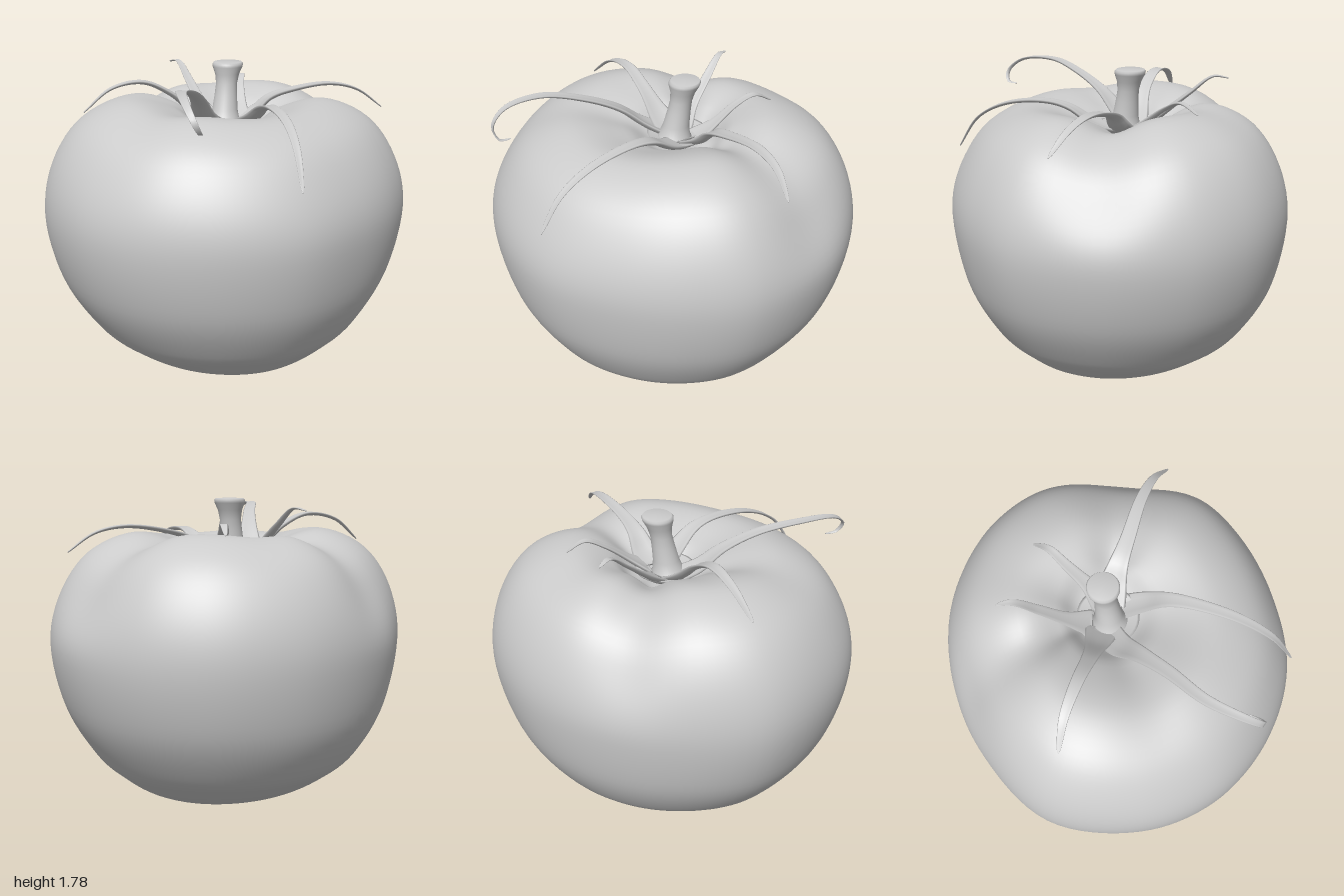
import * as THREE from 'three';
import { mergeVertices } from 'three/addons/utils/BufferGeometryUtils.js';

const material = new THREE.MeshStandardMaterial({ color: 0xcccccc, roughness: 0.6 });
const V2 = (p) => new THREE.Vector2(p[0], p[1]);
const V3 = (p) => new THREE.Vector3(p[0], p[1], p[2]);

function mesh(geometry, name) {
  const m = new THREE.Mesh(geometry, material);
  m.name = name;
  return m;
}

// Lathe with welded seam, so normals stay smooth after reshaping
function weld(geometry) {
  geometry.deleteAttribute('uv');
  geometry.deleteAttribute('normal');
  const g = mergeVertices(geometry, 1e-5);
  g.computeVertexNormals();
  return g;
}

// Fruit: one profile swept round a lopsided outline, with shoulder grooves
function fruit() {
  const outline = new THREE.CatmullRomCurve3([
    [-0.09, 0.965], [0.32, 0.9], [0.66, 0.66], [0.89, 0.36], [1, 0.03], [0.9, -0.45], [0.64, -0.78],
    [0.36, -0.93], [0.09, -0.97], [-0.24, -0.91], [-0.56, -0.72], [-0.83, -0.4], [-1, 0.1], [-0.82, 0.58], [-0.5, 0.86],
  ].map(([x, z]) => V3([x, 0, z])), true);
  const profile = new THREE.SplineCurve([
    [0, 0], [0.05, 0.012], [0.13, 0.05], [0.3, 0.097], [0.5, 0.168], [0.65, 0.262], [0.78, 0.382],
    [0.93, 0.64], [1, 0.99], [0.945, 1.28], [0.79, 1.5], [0.54, 1.605], [0.3, 1.55], [0.16, 1.44], [0, 1.4],
  ].map(V2)).getPoints(84);
  profile[0].x = profile[profile.length - 1].x = 0;
  // angle, half width, height loss, inward pull
  const grooves = [
    [3.85, 0.3, 0.07, 0.03], [5.87, 0.32, 0.08, 0.04], [2.35, 0.35, 0.035, 0],
    [1.2, 0.9, 0.05, 0.01], [4.6, 0.35, 0.02, 0],
  ];
  const segments = 120;
  const g = new THREE.LatheGeometry(profile, segments);
  const pos = g.attributes.position;
  for (let i = 0; i < pos.count; i++) {
    const seg = Math.floor(i / profile.length) % segments;
    const { x: r, y } = profile[i % profile.length];
    const edge = outline.getPoint(seg / segments);
    const angle = Math.atan2(edge.z, edge.x);
    // the underside is rounder than the waist
    const round = 0.5 * (1 - THREE.MathUtils.smoothstep(y, 0.2, 0.95));
    edge.lerp(edge.clone().setLength(0.975), round);
    const top = THREE.MathUtils.smoothstep(y, 0.95, 1.4);
    const fade = top * THREE.MathUtils.smoothstep(r, 0.05, 0.35);
    let drop = 0, pull = 0;
    for (const [a, width, d, p] of grooves) {
      const delta = Math.atan2(Math.sin(angle - a), Math.cos(angle - a));
      const k = Math.exp(-((delta / width) ** 2)) * fade;
      drop += k * d;
      pull += k * p;
    }
    // off-centre tip below, off-centre crown above
    const tip = Math.exp(-((r / 0.45) ** 2)) * (1 - THREE.MathUtils.smoothstep(y, 0.3, 0.9));
    const crown = top * (1 - THREE.MathUtils.smoothstep(r, 0.1, 0.55));
    const s = r * (1 - pull);
    pos.setXYZ(i,
      edge.x * s + 0.125 * tip + 0.01 * crown,
      y - drop,
      edge.z * s + 0.09 * tip - 0.06 * crown);
  }
  return mesh(weld(g), 'fruit');
}

// Stem: waisted, flared at both ends, leaning slightly back
function stem() {
  const profile = [
    [0, 1.42], [0.11, 1.43], [0.085, 1.46], [0.07, 1.52], [0.062, 1.6], [0.058, 1.66], [0.066, 1.71],
    [0.082, 1.75], [0.084, 1.765], [0.076, 1.775], [0, 1.777],
  ].map(V2);
  const g = new THREE.LatheGeometry(profile, 32);
  const pos = g.attributes.position;
  for (let i = 0; i < pos.count; i++) {
    const k = (pos.getY(i) - 1.43) / 0.34;
    pos.setX(i, pos.getX(i) - 0.01 + 0.027 * k);
    pos.setZ(i, pos.getZ(i) - 0.02 - 0.055 * k);
  }
  return mesh(weld(g), 'stem');
}

// Shallow bowl joining the sepals
function hub() {
  const profile = [[0, 1.4], [0.1, 1.42], [0.155, 1.46], [0.163, 1.475], [0.15, 1.475], [0.09, 1.45], [0, 1.44]];
  const g = weld(new THREE.LatheGeometry(profile.map(V2), 36));
  g.translate(0, 0, -0.04);
  return mesh(g, 'calyxHub');
}

// Sepal: a cupped, tapering blade with a thin lens section along a curve
function sepal(points, width, name) {
  const curve = new THREE.CatmullRomCurve3(points.map(V3));
  const rings = 40, sides = 12;
  const first = points[0], mid = points[points.length - 2];
  const side = new THREE.Vector3(-(mid[2] - first[2]), 0, mid[0] - first[0]).normalize();
  const positions = [], index = [];
  for (let i = 0; i <= rings; i++) {
    const t = i / rings;
    const p = curve.getPointAt(t);
    const normal = new THREE.Vector3().crossVectors(side, curve.getTangentAt(t)).normalize();
    // broad foot, nearly even blade, pointed tip
    const half = width * (0.75 + 0.7 * Math.exp(-((t / 0.2) ** 2))) * Math.pow(1 - t, 0.5) + 0.003;
    const thick = 0.013 * (1 - t) + 0.003;
    for (let j = 0; j < sides; j++) {
      const a = (j / sides) * Math.PI * 2;
      const c = Math.cos(a);
      const v = p.clone()
        .addScaledVector(side, c * half)
        .addScaledVector(normal, Math.sin(a) * thick + (c * c - 0.5) * half * 0.3);
      positions.push(v.x, v.y, v.z);
      if (i < rings) {
        const q = i * sides + j, n = i * sides + (j + 1) % sides;
        index.push(q, q + sides, n, n, q + sides, n + sides);
      }
    }
  }
  // close both ends
  const last = rings * sides;
  for (let j = 1; j < sides - 1; j++) {
    index.push(0, j, j + 1, last, last + j + 1, last + j);
  }
  const g = new THREE.BufferGeometry();
  g.setAttribute('position', new THREE.Float32BufferAttribute(positions, 3));
  g.setIndex(index);
  g.computeVertexNormals();
  return mesh(g, name);
}

export function createModel() {
  const model = new THREE.Group();
  model.name = 'tomato';
  model.add(fruit(), stem(), hub());

  const calyx = new THREE.Group();
  calyx.name = 'calyx';
  calyx.add(
    sepal([[0.08, 1.45, -0.075], [0.17, 1.5, -0.095], [0.25, 1.57, -0.105], [0.38, 1.61, -0.12], [0.6, 1.635, -0.155],
      [0.76, 1.6, -0.16], [0.9, 1.5, -0.14]], 0.06, 'leftSepal'),
    sepal([[0.08, 1.45, 0.0], [0.14, 1.5, 0.1], [0.18, 1.57, 0.21], [0.21, 1.595, 0.34], [0.255, 1.565, 0.58],
      [0.28, 1.47, 0.76], [0.295, 1.29, 0.89]], 0.05, 'frontLeftSepal'),
    sepal([[-0.08, 1.45, 0.0], [-0.13, 1.51, 0.1], [-0.16, 1.605, 0.22], [-0.205, 1.685, 0.4], [-0.265, 1.73, 0.62],
      [-0.255, 1.71, 0.83], [-0.22, 1.64, 0.91], [-0.19, 1.58, 0.89], [-0.185, 1.575, 0.83]], 0.054, 'frontRightSepal'),
    sepal([[-0.08, 1.45, -0.035], [-0.17, 1.51, -0.015], [-0.3, 1.62, 0.01], [-0.45, 1.685, 0.025],
      [-0.62, 1.655, 0.045], [-0.77, 1.535, 0.085]], 0.058, 'rightSepal'),
    sepal([[-0.07, 1.45, -0.1], [-0.125, 1.52, -0.19], [-0.19, 1.64, -0.33], [-0.245, 1.73, -0.44],
      [-0.29, 1.72, -0.51]], 0.05, 'backRightSepal'),
    sepal([[0.065, 1.45, -0.11], [0.09, 1.51, -0.2], [0.105, 1.61, -0.34], [0.125, 1.65, -0.44],
      [0.135, 1.6, -0.54]], 0.05, 'backLeftSepal'),
  );
  model.add(calyx);
  return model;
}
